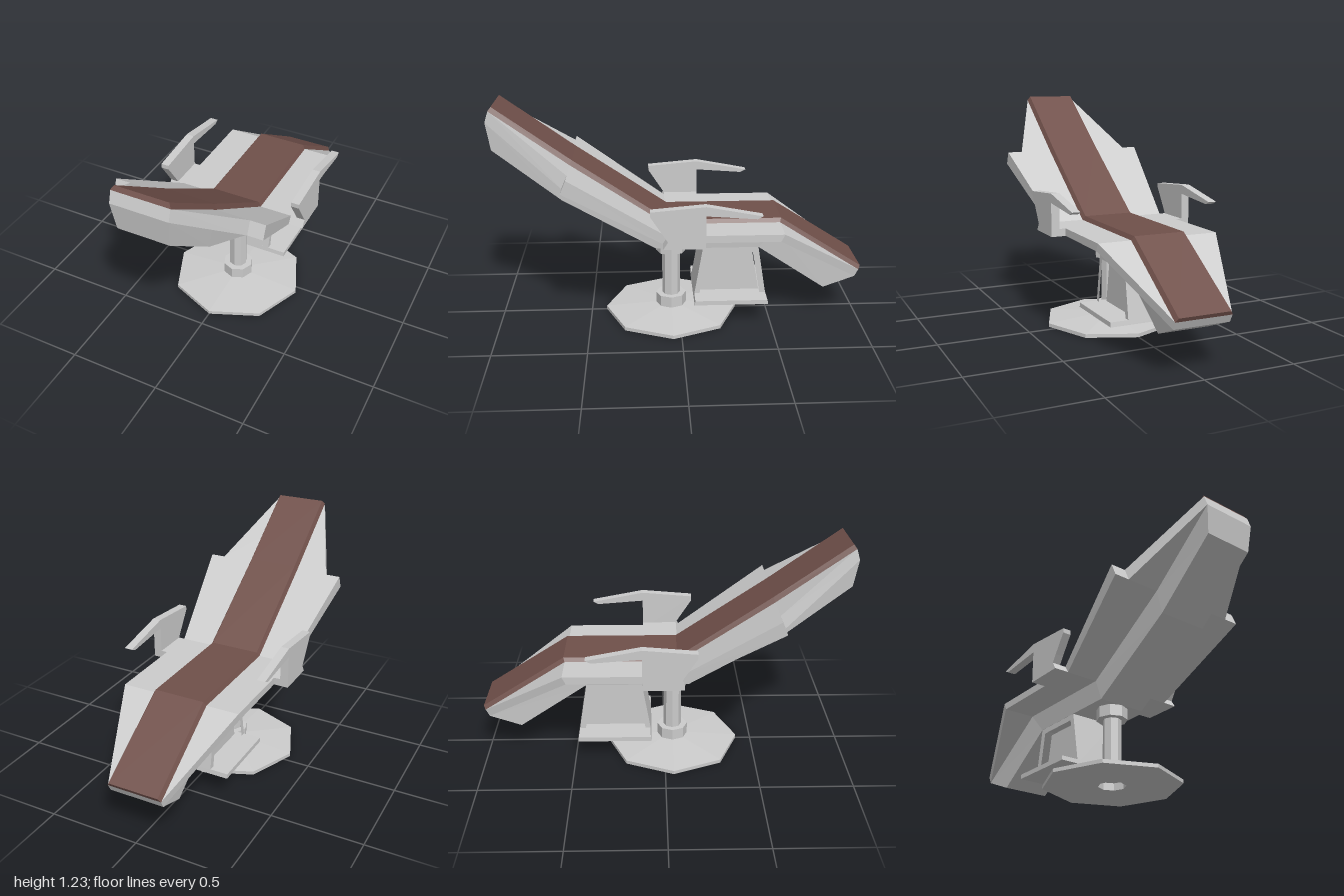
import * as THREE from 'three';

const grey = new THREE.MeshStandardMaterial({ color: 0xcccccc, flatShading: true });
const brown = new THREE.MeshStandardMaterial({ color: 0x70504a, flatShading: true });

function mesh(name, geometry, material = grey) {
  const m = new THREE.Mesh(geometry, material);
  m.name = name;
  return m;
}

// Four-sided beam through rows of [topZ, topY, topHalfWidth, bottomZ, bottomY, bottomHalfWidth], head to foot
function beam(rows) {
  const rings = rows.map(([tz, ty, tw, bz, by, bw]) => [
    [-tw, ty, tz], [tw, ty, tz], [bw, by, bz], [-bw, by, bz],
  ]);
  const pos = [];
  const quad = (a, b, c, d) => pos.push(...a, ...b, ...c, ...a, ...c, ...d);
  for (let i = 0; i < rings.length - 1; i++) {
    const a = rings[i], b = rings[i + 1];
    for (let j = 0; j < 4; j++) {
      const k = (j + 1) % 4;
      quad(a[j], a[k], b[k], b[j]);
    }
  }
  const [p, q, r, s] = rings[0];
  quad(s, r, q, p);
  quad(...rings[rings.length - 1]);
  const g = new THREE.BufferGeometry();
  g.setAttribute('position', new THREE.Float32BufferAttribute(pos, 3));
  g.computeVertexNormals();
  return g;
}

// Side profile of [z, y] points extruded across x, centred on x = cx
function panel(points, width, cx = 0, hole = null) {
  const toVec = ([z, y]) => new THREE.Vector2(-z, y);
  const shape = new THREE.Shape(points.map(toVec));
  if (hole) shape.holes.push(new THREE.Path(hole.map(toVec)));
  const g = new THREE.ExtrudeGeometry(shape, { depth: width, bevelEnabled: false });
  return g.rotateY(Math.PI / 2).translate(cx - width / 2, 0, 0);
}

export function createModel() {
  const group = new THREE.Group();

  // Winged slab: head, shoulder step, hips, knees, foot
  group.add(mesh('recliningSlab', beam([
    [0.98, 1.21, 0.15, 1.0, 1.15, 0.15],
    [0.58, 0.92, 0.33, 0.61, 0.85, 0.33],
    [0.58, 0.92, 0.413, 0.61, 0.85, 0.413],
    [0.075, 0.58, 0.33, 0.10, 0.54, 0.33],
    [-0.54, 0.58, 0.33, -0.52, 0.54, 0.33],
    [-0.99, 0.29, 0.15, -0.97, 0.25, 0.15],
  ])));

  // Narrow keel under the slab
  group.add(mesh('keel', beam([
    [1.0, 1.15, 0.15, 0.98, 1.0, 0.136],
    [0.61, 0.85, 0.15, 0.63, 0.72, 0.136],
    [0.10, 0.54, 0.15, 0.13, 0.43, 0.136],
    [-0.52, 0.54, 0.15, -0.43, 0.43, 0.136],
    [-0.97, 0.25, 0.15, -0.80, 0.18, 0.136],
  ])));

  // Padded strip down the middle
  group.add(mesh('cushion', beam([
    [0.965, 1.23, 0.138, 0.98, 1.21, 0.152],
    [0.567, 0.942, 0.138, 0.58, 0.92, 0.152],
    [0.068, 0.601, 0.138, 0.075, 0.58, 0.152],
    [-0.547, 0.601, 0.138, -0.54, 0.58, 0.152],
    [-1.0, 0.31, 0.138, -0.99, 0.29, 0.152],
  ]), brown));

  // Armrests, each joined to the slab by a short bracket
  const armProfile = [
    [0.10, 0.54], [0.075, 0.58], [0.10, 0.62], [0.165, 0.72], [0.165, 0.745], [-0.12, 0.77],
    [-0.41, 0.715], [-0.38, 0.70], [-0.12, 0.72], [-0.12, 0.54],
  ];
  const bracketProfile = [[0.10, 0.54], [0.075, 0.58], [-0.12, 0.58], [-0.12, 0.54]];
  for (const [side, s] of [['left', 1], ['right', -1]]) {
    group.add(mesh(side + 'Armrest', panel(armProfile, 0.045, s * 0.387)));
    group.add(mesh(side + 'ArmBracket', panel(bracketProfile, 0.04, s * 0.347)));
  }

  // Hanging footrest: frame with recessed web and wide tread
  const recess = [[-0.15, 0.40], [-0.40, 0.40], [-0.443, 0.155], [-0.108, 0.155]];
  group.add(mesh('footrestFrame', panel(
    [[-0.125, 0.43], [-0.43, 0.43], [-0.48, 0.13], [-0.075, 0.13]], 0.27, 0, recess)));
  group.add(mesh('footrestWeb', panel(recess, 0.18)));
  group.add(mesh('footrestTread', panel(
    [[-0.079, 0.155], [-0.476, 0.155], [-0.48, 0.13], [-0.075, 0.13]], 0.47)));

  // Eight-sided pedestal, hollow under the middle of the base
  const profile = [
    [0, 0.04], [0.075, 0.04], [0.075, 0], [0.37, 0], [0.37, 0.02], [0.085, 0.042], [0.085, 0.105],
    [0.05, 0.105], [0.05, 0.367], [0.085, 0.367], [0.085, 0.43], [0, 0.43],
  ].map(([x, y]) => new THREE.Vector2(x, y));
  const pedestal = mesh('pedestal', new THREE.LatheGeometry(profile, 8));
  pedestal.position.z = 0.046;
  group.add(pedestal);

  return group;
}
